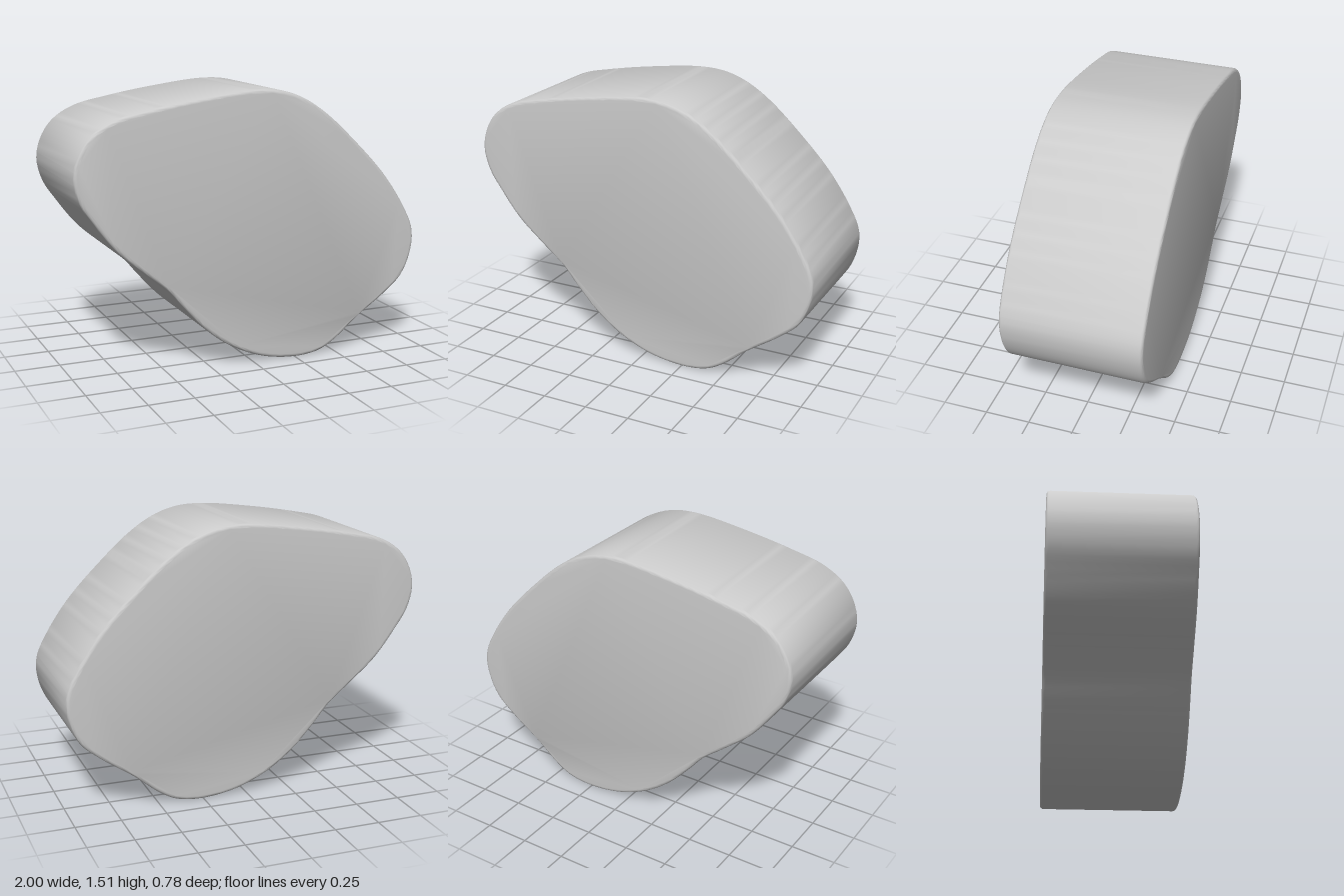
import * as THREE from 'three';
import { toCreasedNormals } from 'three/addons/utils/BufferGeometryUtils.js';

// Silhouette control points, clockwise from the left corner
const OUTLINE = [
  [-1, 1.1], [-0.97, 1.22], [-0.9, 1.315], [-0.78, 1.385], [-0.6, 1.428], [-0.3, 1.478],
  [0, 1.51], [0.15, 1.5], [0.28, 1.457], [0.42, 1.37], [0.6, 1.21], [0.8, 1.0],
  [0.93, 0.81], [0.99, 0.68], [0.99, 0.56], [0.93, 0.41], [0.82, 0.31], [0.64, 0.185],
  [0.5, 0.072], [0.4, 0.02], [0.25, 0.003], [0.05, 0.033], [-0.13, 0.11], [-0.28, 0.22],
  [-0.42, 0.37], [-0.5, 0.465], [-0.62, 0.565], [-0.78, 0.705], [-0.9, 0.86], [-0.97, 0.97],
];
const HALF_DEPTH = 0.39;
const BEVEL = 0.02;

export function createModel() {
  const group = new THREE.Group();
  group.name = 'roundedSlab';

  // Smooth closed curve through the control points
  const curve = new THREE.CatmullRomCurve3(
    OUTLINE.map(([x, y]) => new THREE.Vector3(x, y, 0)), true, 'centripetal');
  const shape = new THREE.Shape(
    curve.getSpacedPoints(160).slice(0, -1).map((p) => new THREE.Vector2(p.x, p.y)));

  // Thick body with a narrow rounded rim on both faces
  const depth = 2 * (HALF_DEPTH - BEVEL);
  const geometry = new THREE.ExtrudeGeometry(shape, {
    depth,
    bevelEnabled: true,
    bevelThickness: BEVEL,
    bevelSize: BEVEL,
    bevelOffset: -BEVEL,
    bevelSegments: 4,
  });
  geometry.translate(0, 0, -depth / 2);

  const body = new THREE.Mesh(
    toCreasedNormals(geometry, 0.6),
    new THREE.MeshStandardMaterial({ color: 0xcccccc }));
  body.name = 'body';
  group.add(body);
  return group;
}
